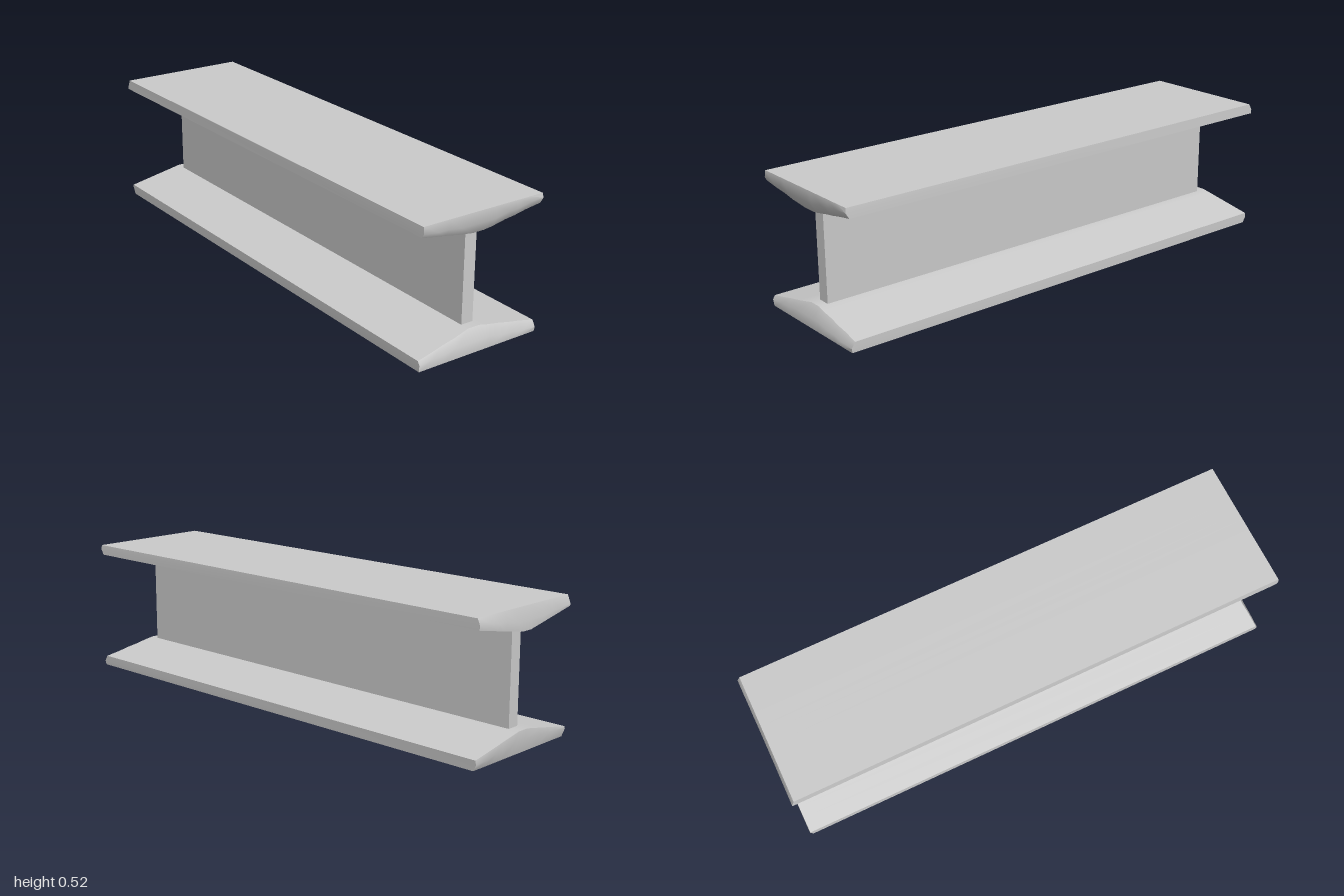
import * as THREE from 'three';
import { toCreasedNormals } from 'three/addons/utils/BufferGeometryUtils.js';

const HEIGHT = 0.523;
const material = new THREE.MeshStandardMaterial({ color: 0xcccccc });

// Across the flange: [z, height of the ragged break line on the end faces]
const STATIONS = [
  [0.262, 0.497], [0.2, 0.49], [0.155, 0.489], [0.1, 0.48], [0.03, 0.48], [-0.02, 0.48],
  [-0.05, 0.48], [-0.11, 0.492], [-0.15, 0.493], [-0.2, 0.503], [-0.262, 0.506],
];

// Underside tapers from the web out to the thin edges
function undersideY(z) {
  const out = z > 0.03 ? (z - 0.03) / 0.232 : z < -0.02 ? (-0.02 - z) / 0.242 : 0;
  return 0.438 + 0.045 * out;
}

// Lofts a six-point section across z; mirrored builds the bottom flange
function flangeGeometry(mirrored) {
  const positions = [];
  const index = [];
  const n = 6;
  for (const [z, crest] of STATIONS) {
    const low = undersideY(z);
    const topZ = z * 0.994;
    const section = [
      [-0.988, HEIGHT, topZ],
      [0.997, HEIGHT, topZ],
      [1, crest, z],
      [1 - (crest - low) * 0.6, low, z],
      [-0.998, low, z],
      [-1, crest - 0.006, z],
    ];
    for (const [x, y, pz] of section) positions.push(x, mirrored ? HEIGHT - y : y, pz);
  }
  const tri = (a, b, c) => (mirrored ? index.push(a, c, b) : index.push(a, b, c));
  const last = (STATIONS.length - 1) * n;
  for (let s = 0; s < STATIONS.length - 1; s++) {
    for (let i = 0; i < n; i++) {
      const a = s * n + i;
      const b = s * n + ((i + 1) % n);
      tri(a, b, b + n);
      tri(a, b + n, a + n);
    }
  }
  // Long edge faces
  for (let i = 1; i < n - 1; i++) {
    tri(0, i + 1, i);
    tri(last, last + i, last + i + 1);
  }
  const geometry = new THREE.BufferGeometry();
  geometry.setAttribute('position', new THREE.Float32BufferAttribute(positions, 3));
  geometry.setIndex(index);
  return toCreasedNormals(geometry, 0.7);
}

export function createModel() {
  const beam = new THREE.Group();
  beam.name = 'beam';
  const add = (name, geometry) => {
    const mesh = new THREE.Mesh(geometry, material);
    mesh.name = name;
    beam.add(mesh);
    return mesh;
  };

  add('topFlange', flangeGeometry(false));
  add('bottomFlange', flangeGeometry(true));

  // Upright web, set back from the flange ends
  const web = add('web', new THREE.BoxGeometry(1.895, 0.356, 0.05));
  web.position.set(-0.008, HEIGHT / 2, 0.005);

  return beam;
}
